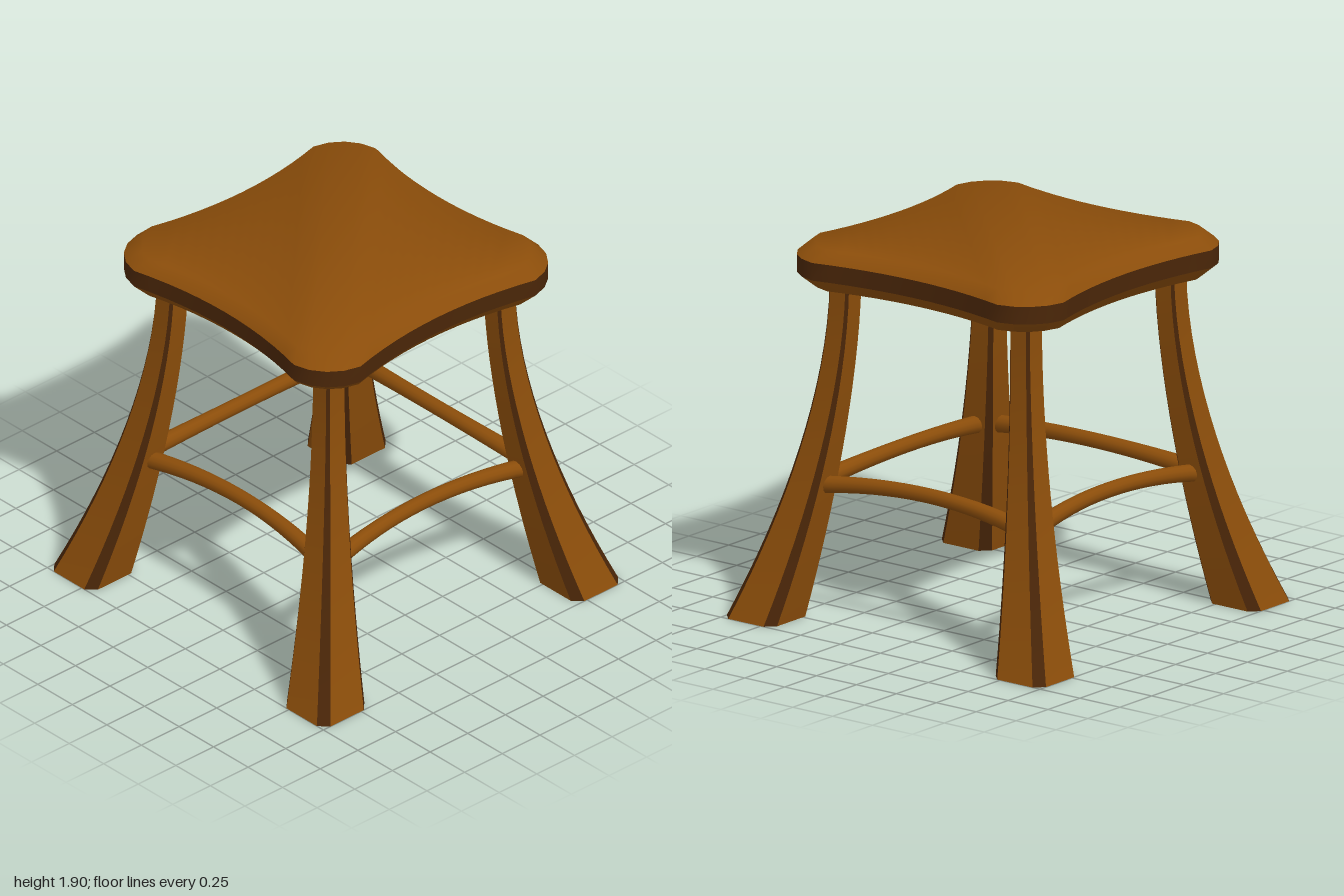
import * as THREE from 'three';
import { toCreasedNormals } from 'three/addons/utils/BufferGeometryUtils.js';

const wood = new THREE.MeshStandardMaterial({ color: 0x8b4d0a });
wood.name = 'brown wood';
const darkWood = new THREE.MeshStandardMaterial({ color: 0x4a2608 });
darkWood.name = 'dark brown edges';

// Skin a stack of closed rings (listed bottom to top). Faces go into two
// material groups: 0 for plain sides, 1 where isDark(column) holds.
function skin(rings, crease, { bottom = false, top = false, isDark = () => false, darkCaps = false } = {}) {
  const n = rings[0].length;
  const faces = [[], []];
  for (let i = 0; i < rings.length - 1; i++) {
    for (let j = 0; j < n; j++) {
      const k = (j + 1) % n;
      const a = i * n + j, b = i * n + k, c = a + n, d = b + n;
      faces[isDark(j) ? 1 : 0].push(a, c, b, b, c, d);
    }
  }
  // Caps are filled with a strip of parallel diagonal chords.
  const cap = (start, up) => {
    const at = (j) => start + (j + n) % n;
    const put = (a, b, c) => faces[darkCaps ? 1 : 0].push(a, up ? b : c, up ? c : b);
    for (let m = 0; m < n / 2; m++) {
      const l = at(n / 4 + m), l2 = at(n / 4 + m + 1);
      const r = at(n / 4 - m), r2 = at(n / 4 - m - 1);
      if (l !== r) put(l2, l, r);
      if (l2 !== r2) put(l2, r, r2);
    }
  };
  if (bottom) cap(0, false);
  if (top) cap((rings.length - 1) * n, true);
  const g = new THREE.BufferGeometry();
  g.setAttribute('position', new THREE.Float32BufferAttribute(rings.flat(2), 3));
  g.setIndex(faces.flat());
  g.addGroup(0, faces[0].length, 0);
  g.addGroup(faces[0].length, faces[1].length, 1);
  return toCreasedNormals(g, crease);
}

// Seat outline: four hollow edges joined by rounded corners.
function seatRing(y, scale) {
  const side = [[0.735, -0.735], [0.785, -0.665]];
  for (let i = 0; i <= 12; i++) {
    const t = i / 6 - 1;
    side.push([0.735 + 0.075 * t * t, 0.58 * t]);
  }
  side.push([0.785, 0.665]);
  const ring = [];
  for (let q = 0; q < 4; q++) {
    const c = Math.round(Math.cos(q * Math.PI / 2));
    const s = Math.round(Math.sin(q * Math.PI / 2));
    for (const [x, z] of side) ring.push([(x * c - z * s) * scale, y, (x * s + z * c) * scale]);
  }
  return ring;
}

// Chamfered square leg section, flaring outward and thickening to the floor.
function legRing(y) {
  const s = 1 - y / 1.69;
  const inner = 0.505 + 0.18 * s ** 1.6;
  const outer = 0.627 + 0.373 * s ** 1.75;
  const c = 0.013 + 0.034 * s ** 1.6;
  return [
    [outer, inner + c], [outer, outer - c], [outer - c, outer], [inner + c, outer],
    [inner, outer - c], [inner, inner + c], [inner + c, inner], [outer - c, inner],
  ].map(([x, z]) => [x, y, z]);
}

// Round rail arched upward and inward, slightly thicker at its ends.
function stretcher() {
  const g = new THREE.CylinderGeometry(0.038, 0.038, 1.26, 12, 16).rotateZ(Math.PI / 2);
  const p = g.attributes.position;
  for (let i = 0; i < p.count; i++) {
    const t2 = (p.getX(i) / 0.63) ** 2;
    const k = 1 + 0.2 * t2;
    p.setY(i, p.getY(i) * k + 0.719 - 0.047 * t2);
    p.setZ(i, p.getZ(i) * k + 0.63 + 0.05 * t2);
  }
  return toCreasedNormals(g, 1);
}

export function createModel() {
  const model = new THREE.Group();
  model.name = 'stool';
  const add = (name, geometry, material, parent) => {
    const mesh = new THREE.Mesh(geometry, material);
    mesh.name = name;
    parent.add(mesh);
    return mesh;
  };

  // Seat: softly rounded top, dark rim band, bevelled underside
  const seat = new THREE.Group();
  seat.name = 'seat';
  model.add(seat);
  add('seatTop', skin([seatRing(1.84, 1), seatRing(1.9, 0.925)], 1, { top: true }), wood, seat);
  add('seatRim', skin([seatRing(1.75, 1), seatRing(1.84, 1)], 0.7), darkWood, seat);
  add('seatUnderside', skin([seatRing(1.69, 0.925), seatRing(1.75, 1)], 0.7, { bottom: true }), wood, seat);

  // Leg with dark chamfers and foot, and arched stretcher, on all four sides
  const legRings = [];
  for (let i = 0; i <= 16; i++) legRings.push(legRing(1.69 * i / 16));
  const legGeometry = skin(legRings, 0.5, { bottom: true, isDark: (j) => j % 2 === 1, darkCaps: true });
  const stretcherGeometry = stretcher();

  for (let q = 0; q < 4; q++) {
    add('leg', legGeometry, [wood, darkWood], model).rotation.y = q * Math.PI / 2;
    add('stretcher', stretcherGeometry, wood, model).rotation.y = q * Math.PI / 2;
  }
  return model;
}
